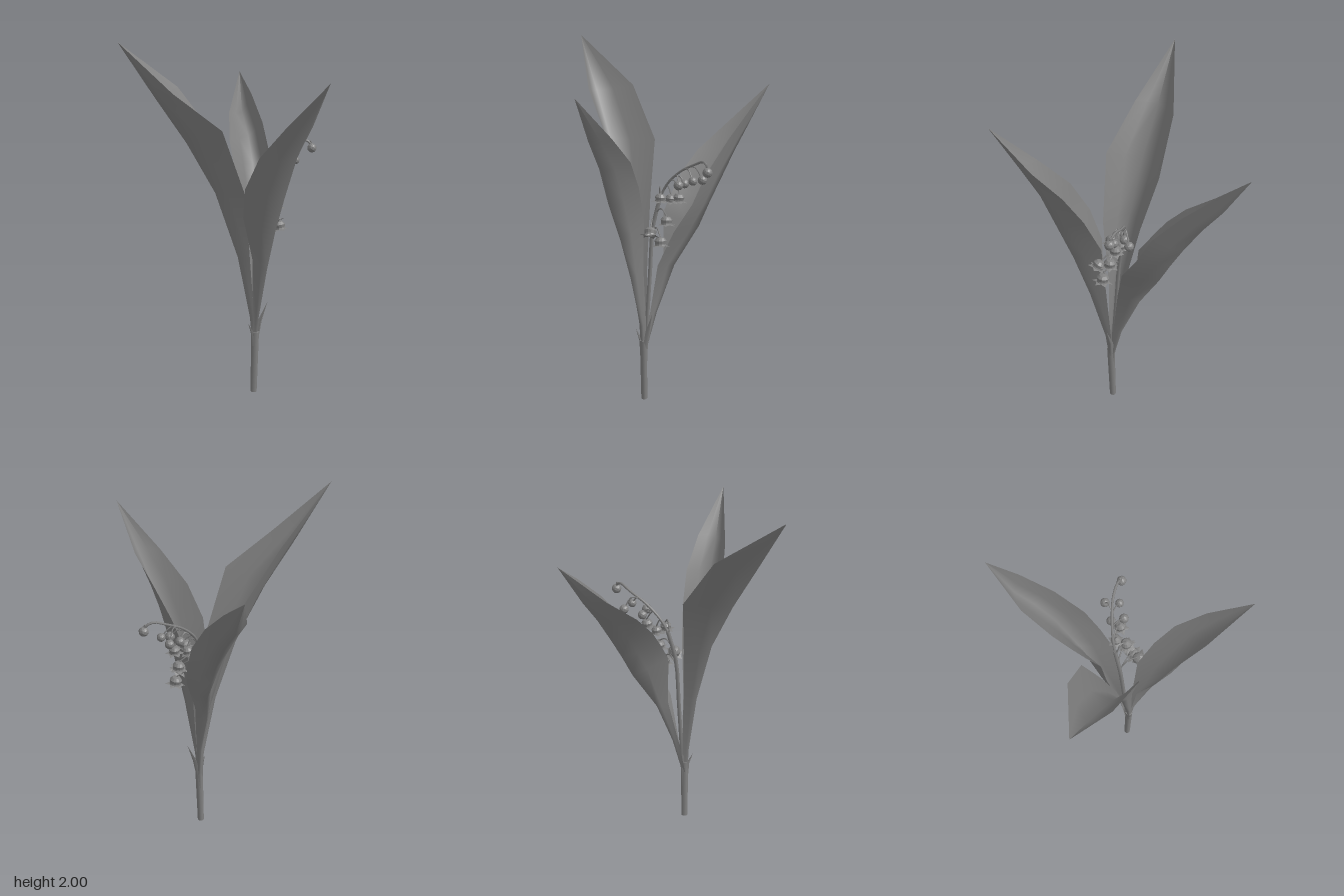
import * as THREE from 'three';

const V = (p) => new THREE.Vector3(...p);
const mat = new THREE.MeshStandardMaterial({ color: 0x808080, side: THREE.DoubleSide });
const flat = new THREE.MeshStandardMaterial({ color: 0x808080, side: THREE.DoubleSide, flatShading: true });

function add(group, name, geometry, material = mat) {
  const mesh = new THREE.Mesh(geometry, material);
  mesh.name = name;
  group.add(mesh);
  return mesh;
}

// Leaf skin: each row is [one edge, midrib, other edge], running from base to tip
function leafGeometry(rows) {
  const pos = [], idx = [], n = 5;
  for (const [a, m, b] of rows) {
    const A = V(a), M = V(m), B = V(b);
    // quarter points sag slightly towards the midrib's side for a rounded trough
    const sag = M.clone().sub(A.clone().add(B).multiplyScalar(0.5)).multiplyScalar(0.12);
    const qa = A.clone().lerp(M, 0.5).add(sag), qb = B.clone().lerp(M, 0.5).add(sag);
    for (const p of [A, qa, M, qb, B]) pos.push(p.x, p.y, p.z);
  }
  for (let r = 0; r < rows.length - 1; r++)
    for (let c = 0; c < n - 1; c++) {
      const i = r * n + c;
      idx.push(i, i + 1, i + n, i + 1, i + n + 1, i + n);
    }
  const g = new THREE.BufferGeometry();
  g.setAttribute('position', new THREE.Float32BufferAttribute(pos, 3));
  g.setIndex(idx);
  g.computeVertexNormals();
  return g;
}

const tube = (pts, r, segs, sides = 6) =>
  new THREE.TubeGeometry(new THREE.CatmullRomCurve3(pts.map(V)), segs, r, sides);

// Bell with a flared, six-pointed rim; origin at the top, opening downwards
function bellGeometry(size) {
  const rings = [[0.004, 0], [0.55, -0.12], [0.85, -0.5], [0.75, -0.95], [0.8, -1.15], [1.25, -1.3]];
  const g = new THREE.LatheGeometry(rings.map(([r, y]) => new THREE.Vector2(r * size, y * size)).reverse(), 12);
  const p = g.attributes.position;
  for (let i = 0; i < p.count; i++) {
    const ring = i % rings.length, seg = Math.floor(i / rings.length);
    if (ring === 0) {
      const k = seg % 2 ? 0.7 : 1.12;
      p.setXYZ(i, p.getX(i) * k, p.getY(i) + (seg % 2 ? 0.12 : 0) * size, p.getZ(i) * k);
    }
  }
  g.computeVertexNormals();
  return g;
}

export function createModel() {
  const plant = new THREE.Group();
  plant.name = 'floweringPlant';

  // Three big leaves
  const leaves = {
    rightLeaf: [
      [[0.065, 0.3, -0.01], [0.045, 0.3, 0], [0.06, 0.3, 0.015]],
      [[0.07, 0.45, -0.02], [0.035, 0.45, -0.01], [0.045, 0.45, 0.015]],
      [[0.05, 0.8, -0.07], [-0.02, 0.8, -0.05], [0.015, 0.8, 0.01]],
      [[0.025, 1.15, -0.16], [-0.12, 1.17, -0.125], [-0.045, 1.17, 0.035]],
      [[0.005, 1.46, -0.26], [-0.25, 1.45, -0.21], [-0.18, 1.53, 0]],
      [[-0.18, 1.74, -0.36], [-0.385, 1.7, -0.31], [-0.37, 1.73, -0.18]],
      [[-0.545, 2, -0.42], [-0.545, 2, -0.42], [-0.545, 2, -0.42]],
    ],
    frontLeaf: [
      [[0.045, 0.3, 0], [0.06, 0.3, 0.015], [0.075, 0.3, 0]],
      [[0.04, 0.45, 0.01], [0.06, 0.45, 0.035], [0.08, 0.45, 0.005]],
      [[0.01, 0.8, 0.035], [0.04, 0.75, 0.12], [0.075, 0.8, 0.035]],
      [[-0.065, 1.05, 0.04], [0.02, 0.99, 0.205], [0.09, 1.08, 0.06]],
      [[-0.108, 1.22, 0.1], [0.005, 1.18, 0.285], [0.105, 1.28, 0.155]],
      [[-0.105, 1.4, 0.205], [0, 1.4, 0.375], [0.11, 1.44, 0.265]],
      [[-0.085, 1.57, 0.375], [-0.01, 1.57, 0.475], [0.08, 1.59, 0.42]],
      [[-0.02, 1.82, 0.625], [-0.02, 1.82, 0.625], [-0.02, 1.82, 0.625]],
    ],
    leftLeaf: [
      [[0.055, 0.3, -0.02], [0.075, 0.3, -0.01], [0.075, 0.3, 0.005]],
      [[0.085, 0.5, -0.04], [0.12, 0.52, -0.05], [0.095, 0.5, -0.005]],
      [[0.13, 0.8, -0.11], [0.185, 0.78, -0.14], [0.135, 0.8, -0.025]],
      [[0.115, 1.08, -0.14], [0.295, 1.0, -0.225], [0.225, 1.0, -0.035]],
      [[0.14, 1.2, -0.22], [0.335, 1.13, -0.28], [0.305, 1.15, -0.1]],
      [[0.165, 1.29, -0.28], [0.375, 1.25, -0.335], [0.355, 1.31, -0.17]],
      [[0.22, 1.4, -0.37], [0.42, 1.4, -0.42], [0.43, 1.49, -0.31]],
      [[0.34, 1.54, -0.5], [0.46, 1.53, -0.515], [0.495, 1.64, -0.47]],
      [[0.545, 1.76, -0.625], [0.545, 1.76, -0.625], [0.545, 1.76, -0.625]],
    ],
  };
  for (const [name, rows] of Object.entries(leaves)) add(plant, name, leafGeometry(rows));

  // Sheath wrapped round the base, with two small torn tips
  const sheath = add(plant, 'sheath', new THREE.CylinderGeometry(0.022, 0.018, 0.36, 8));
  sheath.position.set(0.063, 0.18, -0.002);
  sheath.rotation.x = 0.035;
  add(plant, 'sheathTipRight', leafGeometry([
    [[0.05, 0.28, -0.016], [0.04, 0.28, 0], [0.05, 0.28, 0.016]],
    [[0.05, 0.35, -0.013], [0.035, 0.35, 0], [0.05, 0.35, 0.013]],
    [[0.012, 0.42, 0], [0.012, 0.42, 0], [0.012, 0.42, 0]],
  ]));
  add(plant, 'sheathTipLeft', leafGeometry([
    [[0.07, 0.3, -0.014], [0.082, 0.3, 0.005], [0.065, 0.3, 0.02]],
    [[0.095, 0.42, -0.005], [0.105, 0.42, 0.015], [0.085, 0.42, 0.025]],
    [[0.13, 0.53, 0.035], [0.13, 0.53, 0.035], [0.13, 0.53, 0.035]],
  ]));

  // Arching flower stem
  add(plant, 'flowerStemLower', tube([[0.06, 0.02, -0.01], [0.075, 0.4, -0.01], [0.088, 0.75, -0.025],
    [0.1, 1.03, -0.04], [0.14, 1.2, -0.055]], 0.011, 14));
  add(plant, 'flowerStemUpper', tube([[0.14, 1.2, -0.055], [0.18, 1.27, -0.055], [0.26, 1.345, -0.04],
    [0.36, 1.4, -0.01], [0.42, 1.425, 0.025], [0.45, 1.41, 0.05], [0.458, 1.38, 0.06]], 0.007, 20));

  // Bells: [stalk start on the stem, top of the bell, size, tilt]
  const bells = [
    [[0.1, 1.02, -0.04], [0.135, 1.045, 0.065], 0.04, -0.5],
    [[0.1, 1.0, -0.038], [0.19, 0.995, 0.06], 0.04, -0.2],
    [[0.115, 1.1, -0.045], [0.21, 1.105, 0.025], 0.038, -0.2],
    [[0.13, 1.17, -0.05], [0.17, 1.225, 0.015], 0.036, -0.15],
    [[0.18, 1.27, -0.055], [0.275, 1.235, 0.005], 0.036, -0.1],
    [[0.16, 1.23, -0.055], [0.21, 1.215, -0.03], 0.034, 0.1],
  ];
  bells.forEach(([a, b, s, tilt], i) => {
    const mid = [(a[0] + b[0]) / 2, Math.max(a[1], b[1]) + 0.03, (a[2] + b[2]) / 2];
    add(plant, 'bellStalk' + (i + 1), tube([a, mid, b], 0.004, 6, 5));
    const bell = add(plant, 'bell' + (i + 1), bellGeometry(s), flat);
    bell.position.set(...b);
    bell.rotation.set(tilt, i * 0.7, 0.1);
  });

  // Closed buds near the tip: [stalk start, centre, radius]
  const buds = [
    [[0.23, 1.32, -0.047], [0.28, 1.285, 0.03], 0.027],
    [[0.3, 1.37, -0.03], [0.385, 1.308, -0.05], 0.026],
    [[0.28, 1.36, -0.037], [0.36, 1.315, 0.025], 0.024],
    [[0.22, 1.31, -0.05], [0.285, 1.28, -0.04], 0.026],
    [[0.45, 1.41, 0.05], [0.458, 1.378, 0.06], 0.027],
  ];
  buds.forEach(([a, b, r], i) => {
    const mid = [(a[0] + b[0]) / 2, Math.max(a[1], b[1]) + 0.008, (a[2] + b[2]) / 2];
    add(plant, 'budStalk' + (i + 1), tube([a, mid, b], 0.004, 5, 5));
    add(plant, 'bud' + (i + 1), new THREE.IcosahedronGeometry(r, 1), flat).position.set(...b);
  });

  return plant;
}
